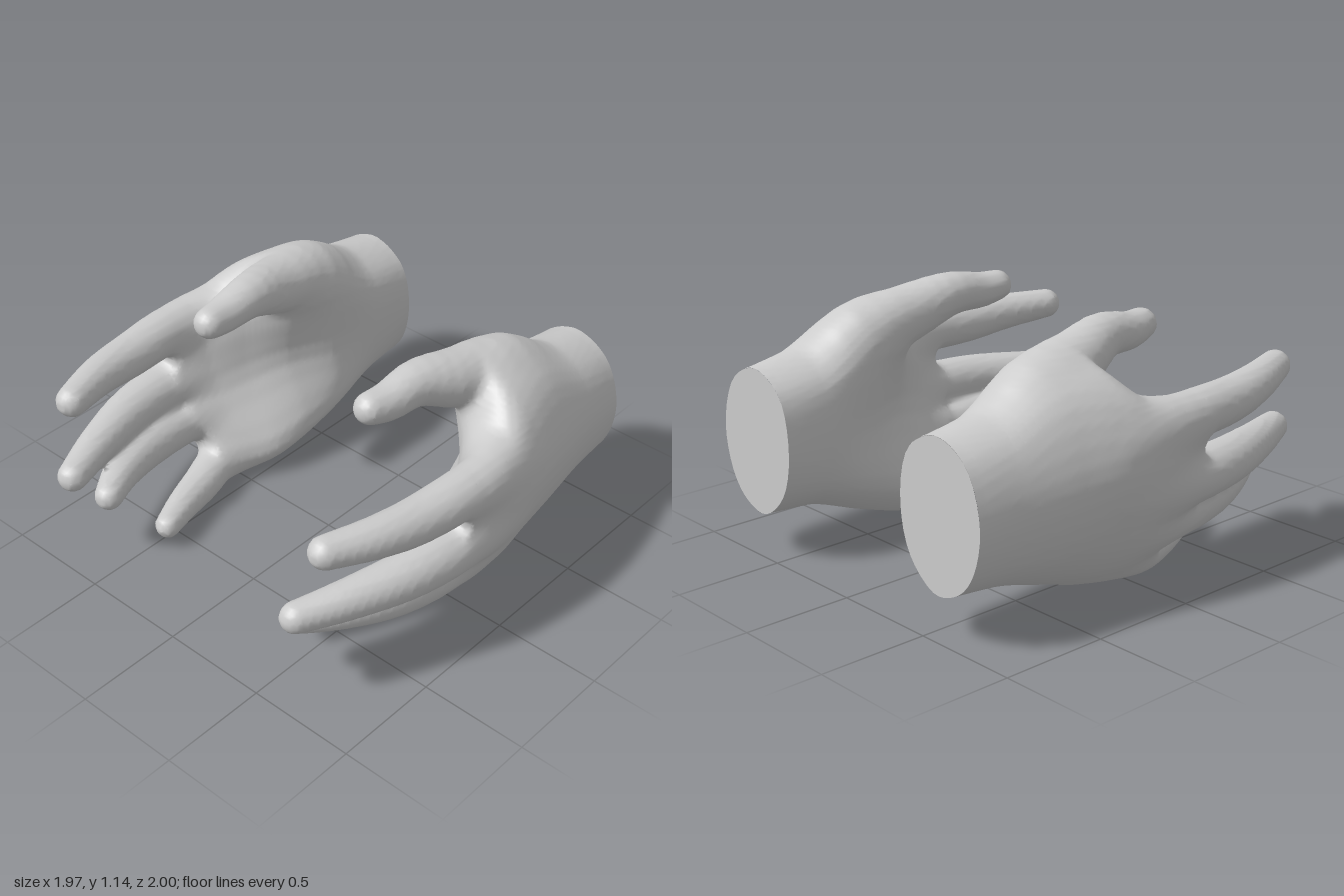
import * as THREE from 'three';

const V = (x, y, z = 0) => new THREE.Vector3(x, y, z);
const material = new THREE.MeshStandardMaterial({ color: 0xcccccc });

// Palm cross-sections [z, outline x,y ...]: top, back of hand, little-finger edge, palm side
const palmSections = [
  [-1.0, 0.6, 0.87, 0.77, 0.79, 0.85, 0.57, 0.81, 0.36, 0.72, 0.25, 0.58, 0.21, 0.43, 0.33, 0.375, 0.55, 0.43, 0.78],
  [-0.78, 0.6, 0.91, 0.78, 0.83, 0.87, 0.6, 0.82, 0.34, 0.71, 0.22, 0.57, 0.2, 0.42, 0.31, 0.375, 0.55, 0.42, 0.81],
  [-0.5, 0.57, 1.05, 0.79, 0.95, 0.92, 0.64, 0.86, 0.33, 0.72, 0.16, 0.55, 0.11, 0.39, 0.25, 0.42, 0.55, 0.41, 0.91],
  [-0.29, 0.64, 1.05, 0.85, 0.94, 0.965, 0.66, 0.89, 0.33, 0.74, 0.12, 0.54, 0.05, 0.4, 0.2, 0.52, 0.55, 0.47, 0.9],
  [-0.13, 0.8, 0.9, 0.92, 0.86, 0.98, 0.65, 0.91, 0.32, 0.75, 0.1, 0.55, 0.03, 0.43, 0.15, 0.62, 0.5, 0.66, 0.83],
  [0.02, 0.86, 0.855, 0.94, 0.82, 0.97, 0.62, 0.9, 0.32, 0.74, 0.1, 0.58, 0.03, 0.51, 0.13, 0.69, 0.46, 0.77, 0.77],
  [0.19, 0.87, 0.8, 0.92, 0.76, 0.925, 0.6, 0.85, 0.36, 0.73, 0.16, 0.64, 0.08, 0.61, 0.14, 0.76, 0.44, 0.82, 0.72],
];

// Digits: rows of centre x, y, z and radius, from root to tip
const digits = {
  thumb: [
    [0.59, 0.78, -0.7, 0.1], [0.555, 0.925, -0.44, 0.145], [0.53, 0.993, -0.2, 0.128],
    [0.487, 1.05, 0, 0.099], [0.475, 1.04, 0.17, 0.082], [0.462, 1.05, 0.26, 0.071],
  ],
  indexFinger: [
    [0.84, 0.72, -0.26, 0.075], [0.875, 0.765, 0.08, 0.104], [0.85, 0.77, 0.4, 0.1],
    [0.81, 0.79, 0.62, 0.087], [0.737, 0.808, 0.835, 0.071],
  ],
  middleFinger: [
    [0.82, 0.5, -0.26, 0.08], [0.86, 0.485, 0.08, 0.112], [0.84, 0.49, 0.4, 0.106],
    [0.755, 0.49, 0.7, 0.087], [0.665, 0.487, 0.93, 0.068],
  ],
  ringFinger: [
    [0.73, 0.33, -0.26, 0.075], [0.78, 0.305, 0.08, 0.105], [0.752, 0.322, 0.4, 0.102],
    [0.67, 0.342, 0.65, 0.083], [0.585, 0.346, 0.805, 0.065],
  ],
  littleFinger: [
    [0.6, 0.16, -0.28, 0.075], [0.635, 0.105, 0.06, 0.093], [0.58, 0.09, 0.25, 0.087],
    [0.52, 0.1, 0.43, 0.073], [0.458, 0.109, 0.585, 0.058],
  ],
};
const partNames = ['palm', ...Object.keys(digits)];

// Smooth palm outline at any z
const outlines = palmSections.map(([, ...xy]) => {
  const points = [];
  for (let i = 0; i < xy.length; i += 2) points.push(V(xy[i], xy[i + 1]));
  return new THREE.CatmullRomCurve3(points, true).getPoints(39);
});
const columns = outlines[0].map((_, j) => new THREE.CatmullRomCurve3(outlines.map((o) => o[j])));
function palmOutline(z) {
  const last = palmSections.length - 1;
  let i = 0;
  while (i < last - 1 && z > palmSections[i + 1][0]) i++;
  const [z0, z1] = [palmSections[i][0], palmSections[i + 1][0]];
  const u = (i + (z - z0) / (z1 - z0)) / last;
  return columns.map((c) => c.getPoint(Math.min(1, u)));
}

// Signed distance to a closed outline
function outlineDistance(ring, x, y) {
  let best = Infinity, inside = false;
  for (let i = 0, j = ring.length - 1; i < ring.length; j = i++) {
    const a = ring[i], b = ring[j];
    const ex = b.x - a.x, ey = b.y - a.y, px = x - a.x, py = y - a.y;
    const t = Math.min(1, Math.max(0, (px * ex + py * ey) / (ex * ex + ey * ey + 1e-12)));
    best = Math.min(best, (px - ex * t) ** 2 + (py - ey * t) ** 2);
    if ((a.y > y) !== (b.y > y) && px < (ex * py) / ey) inside = !inside;
  }
  return Math.sqrt(best) * (inside ? -1 : 1);
}

// Signed distance to a digit: a chain of tapered round segments
function digitDistance(chain, x, y, z) {
  let best = Infinity;
  for (let i = 0; i < chain.length - 1; i++) {
    const a = chain[i], b = chain[i + 1];
    const ex = b.x - a.x, ey = b.y - a.y, ez = b.z - a.z;
    const px = x - a.x, py = y - a.y, pz = z - a.z;
    const t = Math.min(1, Math.max(0, (px * ex + py * ey + pz * ez) / (ex * ex + ey * ey + ez * ez)));
    const d = Math.hypot(px - ex * t, py - ey * t, pz - ez * t) - (a.r + (b.r - a.r) * t);
    best = Math.min(best, d);
  }
  return best;
}
const chains = Object.values(digits).map((rows) => {
  const path = new THREE.CatmullRomCurve3(rows.map((r) => V(r[0], r[1], r[2])));
  const radii = new THREE.CatmullRomCurve3(rows.map((r) => V(r[3], 0, r[2])));
  return Array.from({ length: 17 }, (_, i) =>
    Object.assign(path.getPoint(i / 16), { r: radii.getPoint(i / 16).x }));
});

// Union with a rounded fillet of size k
function blend(a, b, k) {
  const h = Math.max(0, k - Math.abs(a - b)) / k;
  return Math.min(a, b) - h * h * k / 4;
}

// One continuous skin over the blended palm and digits, found on a regular grid
function handSkin() {
  const h = 0.02, nx = 39, ny = 64, nz = 103, origin = [0.3, -0.05, -1];
  const stride = [1, nx, nx * ny], field = new Float32Array(nx * ny * nz), part = new Uint8Array(field.length);
  for (let k = 0, p = 0; k < nz; k++) {
    const z = origin[2] + k * h, ring = palmOutline(z);
    for (let j = 0; j < ny; j++) {
      const y = origin[1] + j * h;
      // the knuckle line falls back towards the little finger
      const knuckles = z - 0.17 + 0.15 * Math.abs(y - 0.58);
      for (let i = 0; i < nx; i++, p++) {
        const x = origin[0] + i * h;
        const palm = Math.max(outlineDistance(ring, x, y), knuckles);
        let nearest = palm, all = Infinity;
        chains.forEach((chain, n) => {
          const d = digitDistance(chain, x, y, z);
          if (d < nearest) { nearest = d; part[p] = n + 1; }
          all = n ? blend(all, d, 0.03) : d;
        });
        field[p] = blend(palm, all, 0.07);
      }
    }
  }
  // one vertex in each grid cell the surface crosses
  const positions = [], vertexOf = new Map();
  const corners = Array.from({ length: 8 }, (_, c) => [c & 1, (c >> 1) & 1, c >> 2]);
  for (let k = 0; k < nz - 1; k++) for (let j = 0; j < ny - 1; j++) for (let i = 0; i < nx - 1; i++) {
    const cell = i + j * stride[1] + k * stride[2], sum = [0, 0, 0];
    let hits = 0;
    for (const corner of corners) for (let axis = 0; axis < 3; axis++) {
      if (corner[axis]) continue;
      const p = cell + corner[0] + corner[1] * stride[1] + corner[2] * stride[2];
      const f0 = field[p], f1 = field[p + stride[axis]];
      if ((f0 < 0) === (f1 < 0)) continue;
      hits++;
      for (let a = 0; a < 3; a++) sum[a] += corner[a] + (a === axis ? f0 / (f0 - f1) : 0);
    }
    if (!hits) continue;
    vertexOf.set(cell, positions.length / 3);
    const z = k ? origin[2] + h * (k + sum[2] / hits) : origin[2];
    positions.push(origin[0] + h * (i + sum[0] / hits), origin[1] + h * (j + sum[1] / hits), z);
  }
  // one quad across each crossed grid edge, sorted by part
  const faces = partNames.map(() => []);
  for (let p = 0; p < field.length - stride[2]; p++) for (let axis = 0; axis < 3; axis++) {
    if ((field[p] < 0) === (field[p + stride[axis]] < 0)) continue;
    const b = stride[(axis + 1) % 3], c = stride[(axis + 2) % 3];
    const q = [p, p - b, p - b - c, p - c].map((cell) => vertexOf.get(cell));
    if (q.includes(undefined)) continue;
    if (field[p] >= 0) q.reverse();
    faces[part[p]].push([q[0], q[1], q[2]], [q[0], q[2], q[3]]);
  }
  return { positions, faces };
}

function createHand(name, side, { positions, faces }) {
  const hand = new THREE.Group();
  hand.name = name;
  const wind = (triangles) => triangles.flatMap(([a, b, c]) => (side > 0 ? [a, b, c] : [a, c, b]));
  const skin = new THREE.BufferGeometry();
  skin.setAttribute('position',
    new THREE.Float32BufferAttribute(positions.map((v, i) => (i % 3 ? v : v * side)), 3));
  skin.setIndex(wind(faces.flat()));
  skin.computeVertexNormals();
  // the parts share vertices and normals, so no seams show
  faces.forEach((triangles, n) => {
    const geometry = new THREE.BufferGeometry();
    geometry.setAttribute('position', skin.attributes.position);
    geometry.setAttribute('normal', skin.attributes.normal);
    geometry.setIndex(wind(triangles));
    const mesh = new THREE.Mesh(geometry, material);
    mesh.name = partNames[n];
    hand.add(mesh);
  });
  // flat wrist end, facing back
  const outline = palmOutline(-1).map((p) => new THREE.Vector2(-p.x * side, p.y));
  const wrist = new THREE.Mesh(new THREE.ShapeGeometry(new THREE.Shape(outline)).rotateY(Math.PI), material);
  wrist.position.z = -1;
  wrist.name = 'wristEnd';
  hand.add(wrist);
  return hand;
}

export function createModel() {
  const model = new THREE.Group();
  model.name = 'pairOfHands';
  const skin = handSkin();
  model.add(createHand('leftHand', 1, skin), createHand('rightHand', -1, skin));
  return model;
}
